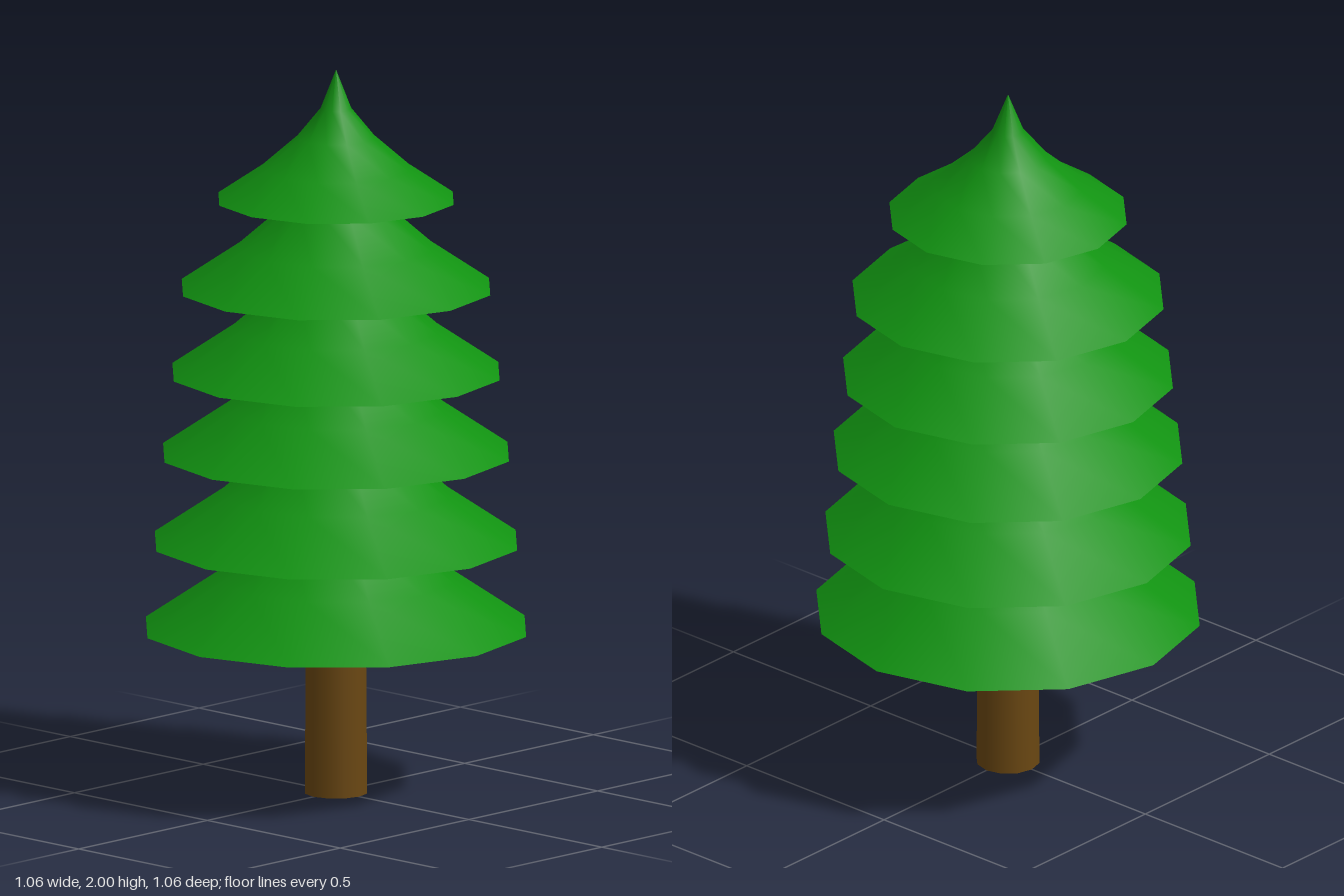
import * as THREE from 'three';

const SIDES = 12;

// Flared bough profile as [radius, height], both relative to the rim radius
const PROFILE = [[1, 0], [0.62, 0.26], [0.325, 0.52], [0.13, 0.76], [0, 1.09]];

// Rim radius and rim height of each tier, bottom to top
const TIERS = [
  [0.53, 0.457], [0.505, 0.695], [0.482, 0.94],
  [0.456, 1.163], [0.43, 1.397], [0.328, 1.642],
];

export function createModel() {
  const tree = new THREE.Group();
  tree.name = 'pineTree';

  const needleGreen = new THREE.MeshStandardMaterial({ color: 0x119211, side: THREE.DoubleSide });
  needleGreen.name = 'needle green';
  const barkBrown = new THREE.MeshStandardMaterial({ color: 0x6a4712 });
  barkBrown.name = 'bark brown';

  // Tapered trunk running up inside the tiers
  const trunkHeight = 1.8;
  const trunk = new THREE.Mesh(
    new THREE.CylinderGeometry(0.073, 0.087, trunkHeight, SIDES), barkBrown);
  trunk.position.y = trunkHeight / 2;
  trunk.name = 'trunk';
  tree.add(trunk);

  // Hollow tiers of boughs, all scaled from one profile and open underneath
  const boughs = new THREE.LatheGeometry(
    PROFILE.map(([r, y]) => new THREE.Vector2(r, y)), SIDES);
  TIERS.forEach(([radius, height], i) => {
    const tier = new THREE.Mesh(boughs, needleGreen);
    tier.scale.setScalar(radius);
    tier.position.y = height;
    tier.name = `boughTier${i + 1}`;
    tree.add(tier);
  });

  return tree;
}
